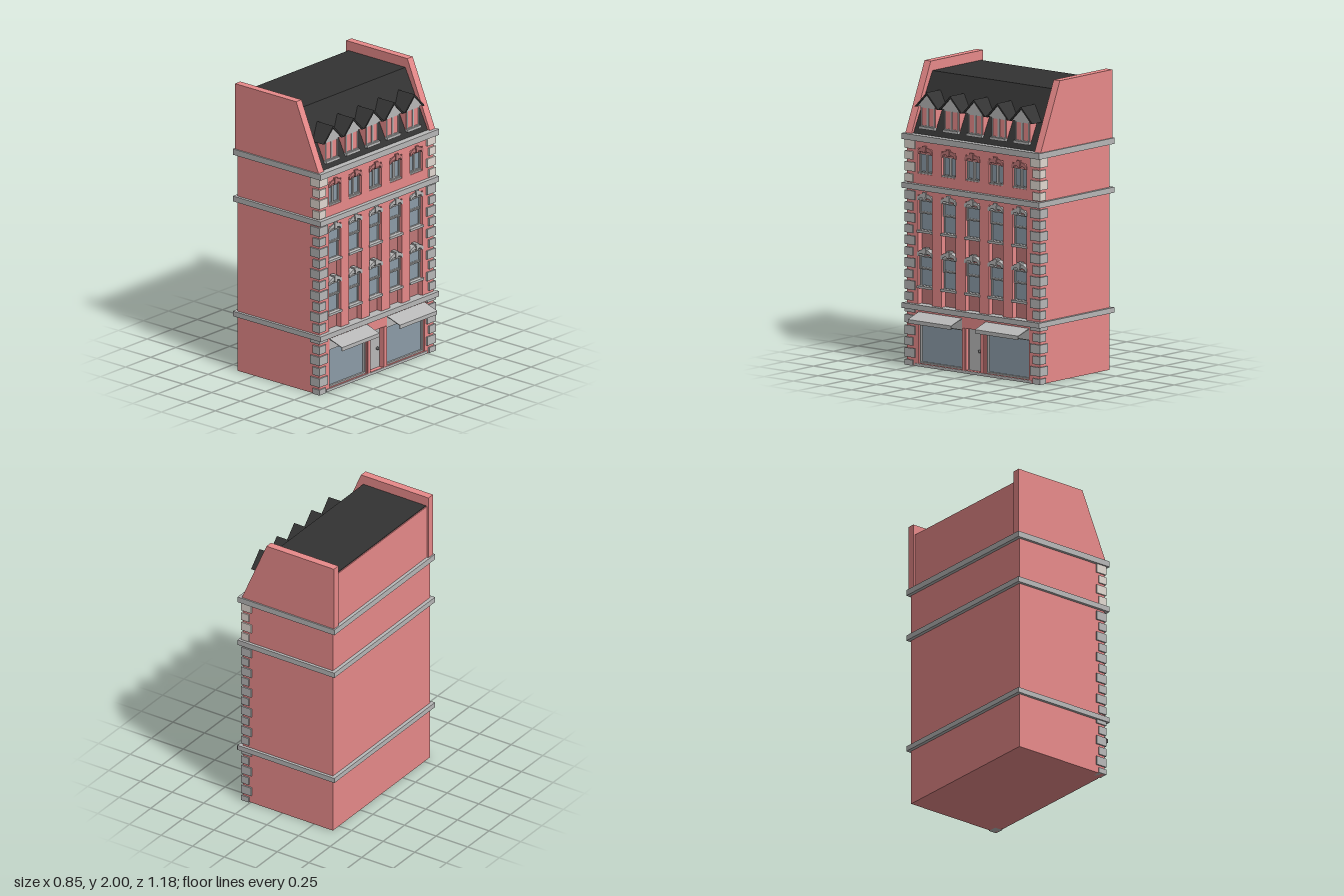
import * as THREE from 'three';

const mat = (color) => new THREE.MeshStandardMaterial({ color, flatShading: true });
const BRICK = mat(0xe88a8a), DARK_BRICK = mat(0xc07878), STONE = mat(0xb8b8b8);
const PALE = mat(0xe2d9d1), ROOF = mat(0x333333), GLASS = mat(0x8c9ca8);

// Local frame: u runs along the street front, y is up, w points out of the street front.
function add(parent, name, geometry, material) {
  const mesh = new THREE.Mesh(geometry, material);
  mesh.name = name;
  parent.add(mesh);
  return mesh;
}

function box(parent, name, material, u0, u1, y0, y1, w0, w1) {
  const mesh = add(parent, name, new THREE.BoxGeometry(u1 - u0, y1 - y0, w1 - w0), material);
  mesh.position.set((u0 + u1) / 2, (y0 + y1) / 2, (w0 + w1) / 2);
  return mesh;
}

const shapeOf = (points) => new THREE.Shape(points.map(([a, b]) => new THREE.Vector2(a, b)));
const rect = (u0, u1, y0, y1) => [[u0, y0], [u1, y0], [u1, y1], [u0, y1]];

// Outline in (u, y), pushed out from w0 to w1
function panel(parent, name, material, points, w0, w1, holes = []) {
  const shape = shapeOf(points);
  holes.forEach((h) => shape.holes.push(shapeOf(h)));
  const geometry = new THREE.ExtrudeGeometry(shape, { depth: w1 - w0, bevelEnabled: false });
  return add(parent, name, geometry.translate(0, 0, w0), material);
}

// Side profile in (w, y), running from u0 to u1
function run(parent, name, material, points, u0, u1) {
  const geometry = new THREE.ExtrudeGeometry(shapeOf(points), { depth: u1 - u0, bevelEnabled: false });
  return add(parent, name, geometry.rotateY(-Math.PI / 2).translate(u1, 0, 0), material);
}

function group(parent, name, u = 0, y = 0) {
  const g = new THREE.Group();
  g.name = name;
  g.position.set(u, y, 0);
  parent.add(g);
  return g;
}

// Rectangular frame with a glass pane set inside it
function framedPane(parent, u0, u1, y0, y1, w0, w1, t) {
  panel(parent, 'windowFrame', STONE, rect(u0, u1, y0, y1), w0, w1, [rect(u0 + t, u1 - t, y0 + t, y1 - t)]);
  box(parent, 'glass', GLASS, u0 + t, u1 - t, y0 + t, y1 - t, w0, (w0 + w1) / 2);
}

// Arched window head with dropped ends and a keystone; y = 0 at its foot
function windowHead(parent, material, y) {
  const g = group(parent, 'windowHead', 0, y);
  panel(g, 'arch', material, [[-0.066, 0], [-0.05, 0], [-0.045, 0.015], [0, 0.022], [0.045, 0.015], [0.05, 0],
    [0.066, 0], [0.066, 0.022], [0.035, 0.042], [0, 0.048], [-0.035, 0.042], [-0.066, 0.022]], 0.275, 0.316);
  panel(g, 'keystone', material, [[-0.01, 0.012], [0.01, 0.012], [0.015, 0.057], [-0.015, 0.057]], 0.28, 0.322);
}

// Tall sliding window, upper sash in front of the lower one
function sashWindow(parent, u, y) {
  const g = group(parent, 'sashWindow', u, y);
  framedPane(g, -0.06, 0.06, 0.01, 0.14, 0.27, 0.288, 0.008);
  framedPane(g, -0.06, 0.06, 0.125, 0.215, 0.275, 0.296, 0.008);
  box(g, 'sill', STONE, -0.066, 0.066, 0, 0.016, 0.27, 0.318);
  windowHead(g, STONE, 0.215);
}

// Small two-light window
function casement(parent, h, w) {
  for (const s of [-1, 1]) {
    framedPane(parent, s < 0 ? -0.06 : 0, s < 0 ? 0 : 0.06, 0.015, h, w, w + 0.018, 0.008);
  }
  box(parent, 'sill', STONE, -0.066, 0.066, 0, 0.018, w, w + 0.03);
}

function dormer(parent, u) {
  const g = group(parent, 'dormer', u);
  box(g, 'dormerWall', BRICK, -0.064, 0.064, 1.56, 1.74, 0.15, 0.278);
  const w = group(g, 'dormerWindow', 0, 1.58);
  casement(w, 0.15, 0.27);
  w.children.forEach((c) => { c.position.z -= 0.004; });
  panel(g, 'pediment', STONE, [[-0.085, 1.73], [0.085, 1.73], [0, 1.815]], 0.165, 0.29);
  panel(g, 'dormerRoof', ROOF, [[-0.1, 1.725], [-0.085, 1.725], [0, 1.812], [0.085, 1.725], [0.1, 1.725], [0, 1.828]],
    0.157, 0.297);
}

function shopfront(parent, u0, u1) {
  const g = group(parent, 'shopfront');
  framedPane(g, u0, u1, 0.02, 0.29, 0.27, 0.298, 0.01);
  box(g, 'fascia', STONE, u0, u1, 0.285, 0.36, 0.27, 0.308);
  run(g, 'awning', STONE, [[0.312, 0.358], [0.417, 0.324], [0.417, 0.302], [0.421, 0.302], [0.421, 0.328], [0.312, 0.364]],
    u0, u1);
}

function door(parent) {
  const g = group(parent, 'entrance');
  box(g, 'door', STONE, -0.065, 0.065, 0.02, 0.3, 0.26, 0.28);
  box(g, 'doorGroove', DARK_BRICK, -0.062, -0.059, 0.025, 0.295, 0.27, 0.282);
  for (const s of [-1, 1]) box(g, 'pilaster', BRICK, s * 0.08 - 0.013, s * 0.08 + 0.013, 0.02, 0.3, 0.29, 0.316);
  const knob = add(g, 'doorKnob', new THREE.SphereGeometry(0.011, 12, 8), mat(0x777777));
  knob.position.set(0.036, 0.155, 0.288);
}

// Corner stones, wrapping the street corner on both ends
function quoin(parent, y, large, material) {
  const half = large ? 0.03 : 0.027;
  const y0 = Math.max(0, y - half), length = large ? 0.08 : 0.06;
  for (const s of [-1, 1]) {
    const a = s * 0.58, b = s * (0.58 - length - 0.005);
    box(parent, 'quoin', material, Math.min(a, b), Math.max(a, b), y0, y + half, 0.32 - length, 0.32);
  }
}

export function createModel() {
  const model = new THREE.Group();
  model.name = 'townhouse';
  const house = group(model, 'building');
  house.rotation.y = Math.PI / 2;
  const columns = [-2, -1, 0, 1, 2].map((i) => i * 0.2025 - 0.009);
  const shops = [[-0.468, -0.097], [0.107, 0.478]];

  // Body with a pierced street wall
  box(house, 'body', BRICK, -0.57, 0.57, 0, 1.54, -0.4, 0.27);
  const holes = shops.map(([a, b]) => rect(a, b, 0.02, 0.36));
  holes.push(rect(-0.065, 0.065, 0.02, 0.3));
  for (const u of columns) {
    holes.push(rect(u - 0.06, u + 0.06, 0.41, 1.145), rect(u - 0.06, u + 0.06, 1.285, 1.455));
  }
  panel(house, 'streetWall', BRICK, rect(-0.57, 0.57, 0, 1.54), 0.27, 0.31, holes);
  box(house, 'plinth', STONE, -0.5, 0.5, 0, 0.018, 0.28, 0.314);

  // Ground floor
  shops.forEach(([a, b]) => shopfront(house, a, b));
  door(house);

  // Upper floors
  for (const u of columns) {
    box(house, 'bayBack', DARK_BRICK, u - 0.06, u + 0.06, 0.41, 1.145, 0.265, 0.272);
    sashWindow(house, u, 0.522);
    sashWindow(house, u, 0.893);
    const top = group(house, 'topWindow', u, 1.277);
    casement(top, 0.143, 0.275);
    box(top, 'headInfill', DARK_BRICK, -0.06, 0.06, 0.14, 0.18, 0.265, 0.3);
    windowHead(top, DARK_BRICK, 0.14);
    dormer(house, u);
  }

  // Corner stones
  for (let i = 0; i < 8; i++) {
    quoin(house, 1.135 - i * 0.15, true, STONE);
    quoin(house, 1.06 - i * 0.15, false, STONE);
  }
  for (const y of [1.325, 1.475]) {
    quoin(house, y, true, PALE);
    quoin(house, y - 0.075, false, PALE);
  }

  // Stone bands
  for (const [y0, y1] of [[0.38, 0.415], [1.18, 1.217], [1.505, 1.545]]) {
    box(house, 'stoneBand', STONE, -0.59, 0.59, y0, y1, -0.425, 0.34);
  }

  // Mansard roof with brick back wall, and gable parapets
  run(house, 'mansardRoof', ROOF, [[-0.395, 1.54], [0.297, 1.54], [0.1, 1.935], [-0.395, 1.935]], -0.53, 0.53);
  box(house, 'atticBackWall', BRICK, -0.53, 0.53, 1.54, 1.93, -0.402, -0.39);
  for (const [u0, u1] of [[-0.58, -0.527], [0.527, 0.58]]) {
    run(house, 'gableParapet', BRICK, [[-0.415, 1.54], [0.315, 1.54], [0.118, 2], [-0.415, 2]], u0, u1);
  }
  return model;
}
